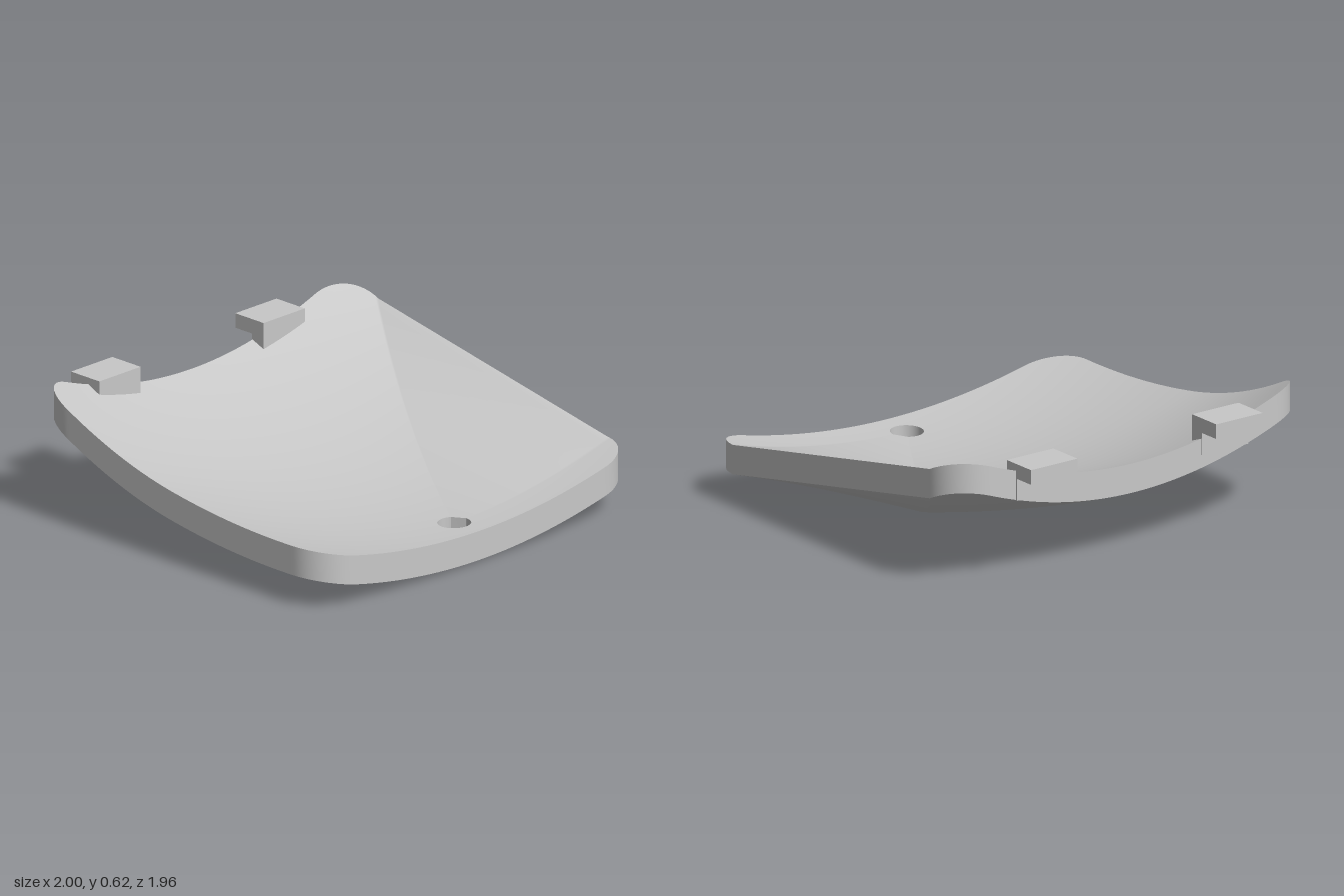
import * as THREE from 'three';

const FRONT = 0.975, BACK = -0.87, CORNER = 0.2, THICK = 0.14;
const HOLE = { z: 0.805, r: 0.077 };

// Height of the dished underside: curls up to the back and to both sides
function underside(x, z) {
  const bend = 0.145 + 0.09 * Math.pow(Math.max(0, -z) / 0.87, 2);
  return (z - 0.7) ** 2 / 8.2 + bend * x * x;
}

// Rounded rectangle outline, counter-clockwise from above
function outlinePoints(count) {
  const s = new THREE.Shape();
  const x = 1 - CORNER, lo = -FRONT + CORNER, hi = -BACK - CORNER, q = Math.PI / 2;
  s.moveTo(1, lo);
  s.absarc(x, hi, CORNER, 0, q);
  s.absarc(-x, hi, CORNER, q, 2 * q);
  s.absarc(-x, lo, CORNER, 2 * q, 3 * q);
  s.absarc(x, lo, CORNER, 3 * q, 4 * q);
  return s.getSpacedPoints(count).slice(0, count).map(p => ({ x: p.x, z: -p.y }));
}

// Closed-ring surface; rows are [spread from hole to rim, height through the thickness]
function ringSurface(outline, rows) {
  const n = outline.length, pos = [], idx = [];
  for (const [t, h] of rows) {
    for (const p of outline) {
      const a = Math.atan2(p.z - HOLE.z, p.x);
      const x = THREE.MathUtils.lerp(Math.cos(a) * HOLE.r, p.x, t);
      const z = THREE.MathUtils.lerp(HOLE.z + Math.sin(a) * HOLE.r, p.z, t);
      pos.push(x, underside(x, z) + h * THICK, z);
    }
  }
  for (let j = 0; j < rows.length - 1; j++) {
    for (let i = 0; i < n; i++) {
      const k = (i + 1) % n;
      const a = j * n + i, b = j * n + k, c = a + n, d = b + n;
      idx.push(a, c, d, a, d, b);
    }
  }
  const g = new THREE.BufferGeometry();
  g.setAttribute('position', new THREE.Float32BufferAttribute(pos, 3));
  g.setIndex(idx);
  g.computeVertexNormals();
  return g;
}

export function createModel() {
  const model = new THREE.Group();
  model.name = 'curvedCover';
  const grey = new THREE.MeshStandardMaterial({ color: 0xc8c8c8 });
  grey.name = 'light grey';

  const add = (parent, name, geometry) => {
    const mesh = new THREE.Mesh(geometry, grey);
    mesh.name = name;
    parent.add(mesh);
    return mesh;
  };

  // Curved panel with a through hole near the front
  const panel = new THREE.Group();
  panel.name = 'panel';
  model.add(panel);
  const outline = outlinePoints(320);
  const steps = Array.from({ length: 29 }, (_, i) => i / 28);
  add(panel, 'panelTop', ringSurface(outline, steps.map(t => [t, 1])));
  add(panel, 'panelRim', ringSurface(outline, [[1, 1], [1, 0]]));
  add(panel, 'panelUnderside', ringSurface(outline, steps.map(t => [1 - t, 0])));
  add(panel, 'holeWall', ringSurface(outline, [[0, 0], [0, 1]]));

  // L-shaped clips hooked over the back edge, profile in (-z, y)
  const profile = new THREE.Shape([
    [0.80, 0.40], [0.875, 0.40], [0.875, 0.505],
    [0.98, 0.505], [0.98, 0.575], [0.80, 0.575],
  ].map(([a, b]) => new THREE.Vector2(a, b)));
  const clip = new THREE.ExtrudeGeometry(profile, { depth: 0.265, bevelEnabled: false });
  clip.translate(0, 0, -0.1325);
  clip.rotateY(Math.PI / 2);
  for (const side of [1, -1]) {
    add(model, side > 0 ? 'leftClip' : 'rightClip', clip).position.x = side * 0.5275;
  }
  return model;
}
